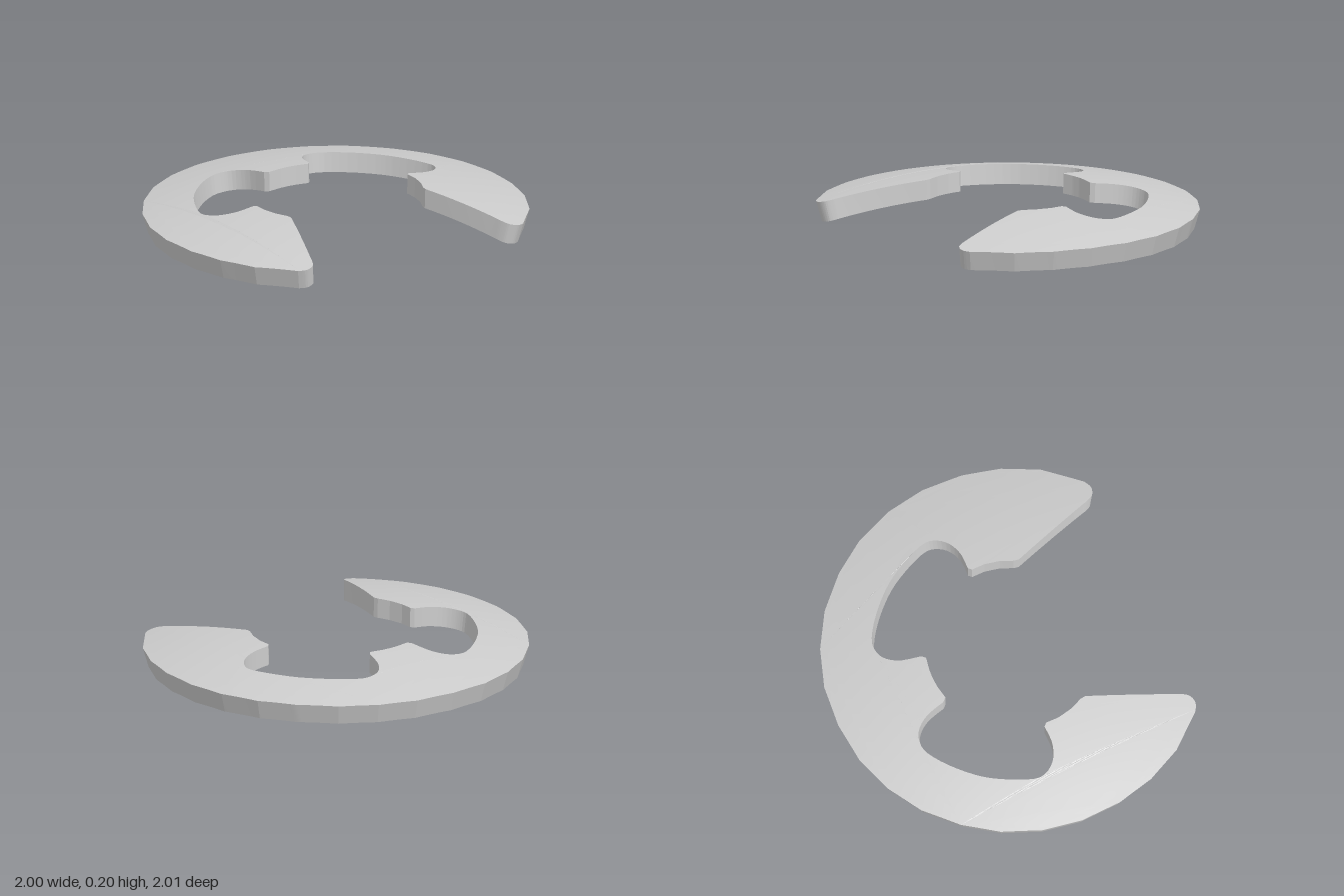
import * as THREE from 'three';
import { toCreasedNormals } from 'three/addons/utils/BufferGeometryUtils.js';

const THICKNESS = 0.105;
const STEPS = 3; // halvings of every outline triangle, so the dome curves smoothly

const vectors = (list) => list.map(([x, z]) => new THREE.Vector2(x, z));

// Mirror across the clip's own axis, which runs through the gap (3-4-5 angle)
const mirror = (p) => new THREE.Vector2(0.28 * p.x + 0.96 * p.y, 0.96 * p.x - 0.28 * p.y);

// Half of the plan outline, from the back of the ring round one arm to the middle lug
function halfOutline() {
  const outer = vectors([
    [-0.8, -0.6], [-0.65, -0.765], [-0.475, -0.885], [-0.28, -0.965], [-0.06, -1], [0.15, -0.993],
    [0.36, -0.938], [0.55, -0.84], [0.72, -0.7], [0.85, -0.54], [0.945, -0.355],
  ]);
  const tip = vectors([[0.995, -0.125], [0.985, -0.08], [0.95, -0.053], [0.91, -0.055], [0.87, -0.067]]);
  const armLug = vectors([[0.425, -0.2], [0.405, -0.22], [0.37, -0.282], [0.315, -0.345], [0.258, -0.387]]);
  const pocket = vectors([
    [0.255, -0.41], [0.312, -0.485], [0.335, -0.57], [0.315, -0.645], [0.26, -0.69], [0.12, -0.724],
    [-0.02, -0.735], [-0.18, -0.713], [-0.31, -0.67], [-0.363, -0.62], [-0.38, -0.555], [-0.355, -0.475],
    [-0.288, -0.39],
  ]);
  const backLug = vectors([[-0.283, -0.363], [-0.335, -0.315], [-0.368, -0.276]]);
  const smooth = (points) => new THREE.SplineCurve(points).getPoints(points.length * 3);
  return [...outer, ...smooth(tip), ...armLug, ...smooth(pocket), ...backLug];
}

function clipGeometry() {
  const half = halfOutline();
  const outline = [...half, ...half.slice(1, -1).reverse().map(mirror)];
  if (THREE.ShapeUtils.isClockWise(outline)) outline.reverse();

  // Shallow dome; the lower face is offset along the dome's normal
  const top = (p) => [p.x, 0.2264 - 0.1214 * p.lengthSq(), p.y];
  const bottom = (p) => {
    const s = 1 - 0.03 * p.lengthSq();
    return [p.x * s, top(p)[1] - THICKNESS, p.y * s];
  };

  const positions = [];
  const face = (...corners) => corners.forEach((c) => positions.push(...c));
  const mid = (a, b) => a.clone().add(b).multiplyScalar(0.5);

  // Upper and lower faces
  function cap(a, b, c, depth) {
    if (depth === 0) {
      face(top(a), top(c), top(b));
      face(bottom(a), bottom(b), bottom(c));
      return;
    }
    const ab = mid(a, b), bc = mid(b, c), ca = mid(c, a);
    cap(a, ab, ca, depth - 1);
    cap(ab, b, bc, depth - 1);
    cap(ca, bc, c, depth - 1);
    cap(ab, bc, ca, depth - 1);
  }
  for (const [i, j, k] of THREE.ShapeUtils.triangulateShape(outline, [])) {
    cap(outline[i], outline[j], outline[k], STEPS);
  }

  // Edge walls, divided to match the faces
  const n = 2 ** STEPS;
  outline.forEach((p, i) => {
    const q = outline[(i + 1) % outline.length];
    for (let s = 0; s < n; s++) {
      const a = p.clone().lerp(q, s / n);
      const b = p.clone().lerp(q, (s + 1) / n);
      face(top(a), top(b), bottom(a));
      face(top(b), bottom(b), bottom(a));
    }
  });

  const geometry = new THREE.BufferGeometry();
  geometry.setAttribute('position', new THREE.Float32BufferAttribute(positions, 3));
  return toCreasedNormals(geometry, 0.2);
}

export function createModel() {
  const group = new THREE.Group();
  group.name = 'retainingClip';
  const ring = new THREE.Mesh(clipGeometry(), new THREE.MeshStandardMaterial({ color: 0xcccccc }));
  ring.name = 'domedClipRing';
  group.add(ring);
  return group;
}
